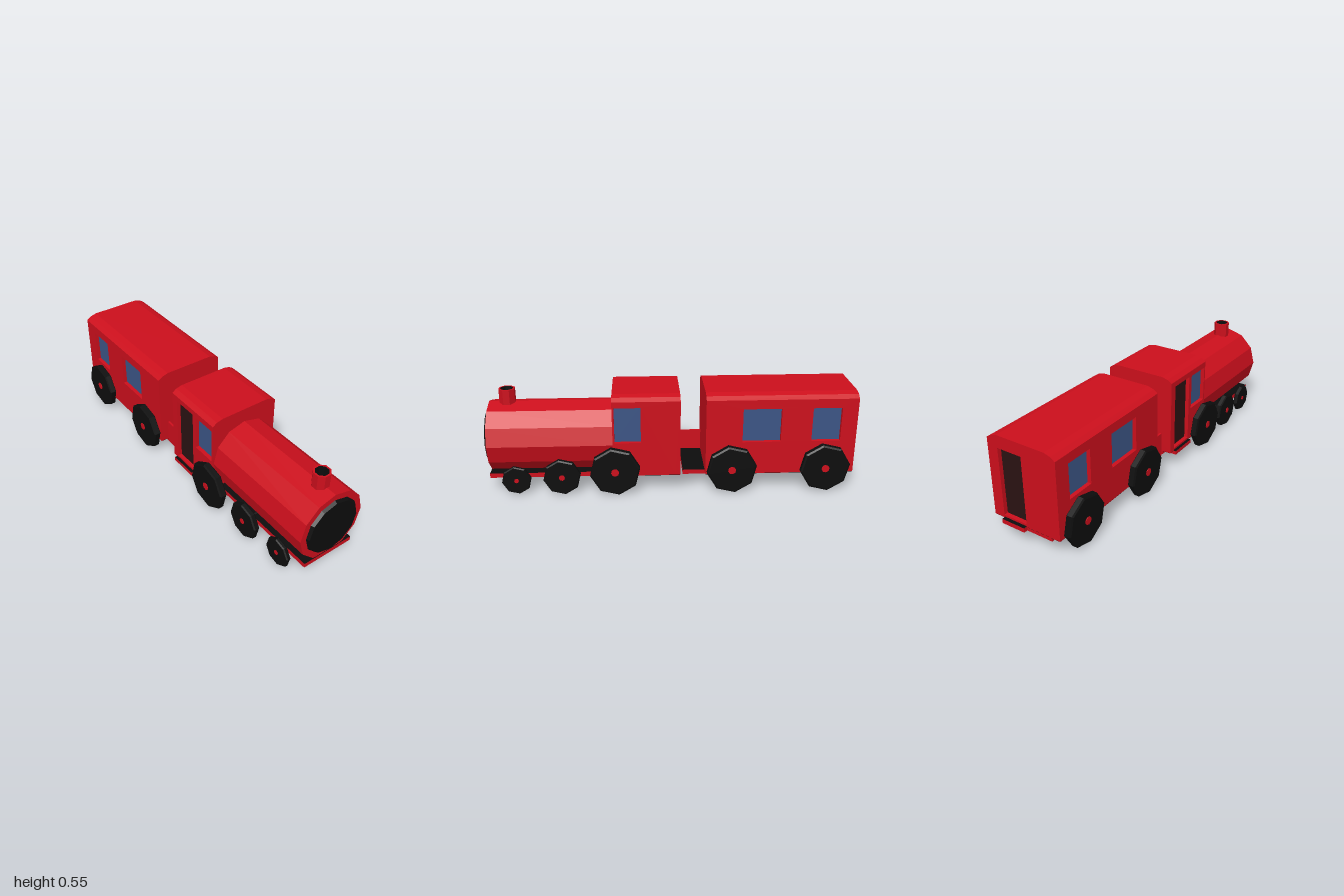
import * as THREE from 'three';

const mat = (color) => new THREE.MeshStandardMaterial({ color, flatShading: true });
const RED = mat(0xcc0f1c), BLACK = mat(0x0d0d0d), DARK = mat(0x2a1212), GLASS = mat(0x3c5585);
const INSET = 0.025; // depth of window and door recesses

function add(parent, name, geometry, material) {
  const mesh = new THREE.Mesh(geometry, material);
  mesh.name = name;
  parent.add(mesh);
  return mesh;
}

// Box given by its limits on each axis
function box(parent, name, [x0, x1], [y0, y1], [z0, z1], material) {
  const mesh = add(parent, name, new THREE.BoxGeometry(x1 - x0, y1 - y0, z1 - z0), material);
  mesh.position.set((x0 + x1) / 2, (y0 + y1) / 2, (z0 + z1) / 2);
  return mesh;
}

// Floor plate: red edges, dark top and underside
const plate = (parent, name, x, y, z) =>
  box(parent, name, x, y, z, [RED, RED, BLACK, DARK, RED, RED]);

const polygon = (points) => new THREE.Shape(points.map(([x, y]) => new THREE.Vector2(x, y)));
const rect = ([u0, u1], [y0, y1]) => [[u0, y0], [u1, y0], [u1, y1], [u0, y1]];
const extrude = (shape, depth) => new THREE.ExtrudeGeometry(shape, { depth, bevelEnabled: false });

function withHoles(points, openings) {
  const shape = polygon(points);
  for (const o of openings) shape.holes.push(new THREE.Path(polygon(rect(o.u, o.y)).getPoints().reverse()));
  return shape;
}

// Bevelled-roof coach body with recessed openings; openings use z (sides) or x (back) as u
function coachBody(name, z0, z1, top, openings) {
  const g = new THREE.Group();
  g.name = name;
  const roof = [[0.2, 0.52], [0.175, 0.537], [0.14, top], [-0.14, top], [-0.175, 0.537], [-0.2, 0.52]];
  const inner = 0.2 - INSET;

  // Core and roof in one section
  const section = polygon([[-inner, 0.1], [inner, 0.1], [inner, 0.52], ...roof, [-inner, 0.52]]);
  add(g, 'coreAndRoof', extrude(section, z1 - z0 - INSET), RED).position.z = z0 + INSET;

  // Back wall
  const backShape = withHoles([[-0.2, 0.1], [0.2, 0.1], ...roof], openings.back);
  add(g, 'backWall', extrude(backShape, INSET), RED).position.z = z0;
  for (const o of openings.back) {
    box(g, o.name, o.u, o.y, [z0 + INSET - 0.003, z0 + INSET + 0.003], o.material);
  }

  // Side walls with their panels
  for (const s of [1, -1]) {
    const list = s > 0 ? openings.left : openings.right;
    const wall = add(g, s > 0 ? 'leftWall' : 'rightWall',
      extrude(withHoles(rect([z0 + INSET, z1], [0.1, 0.52]), list), INSET), RED);
    wall.rotation.y = -Math.PI / 2;
    wall.position.x = s > 0 ? 0.2 : -inner;
    for (const o of list) {
      box(g, o.name, [s * inner - 0.003, s * inner + 0.003], o.y, o.u, o.material);
    }
  }

  box(g, 'underside', [-0.198, 0.198], [0.097, 0.101], [z0 + 0.002, z1 - 0.002], DARK);
  return g;
}

const windowAt = (z0, z1, y0, y1) => ({ name: 'window', u: [z0, z1], y: [y0, y1], material: GLASS });
const doorAt = (u0, u1, y1) => ({ name: 'door', u: [u0, u1], y: [0.115, y1], material: DARK });

// Eight-sided wheel with bevelled rim and red hub, lying along +x
function wheel(radius, width) {
  const g = new THREE.Group();
  const profile = [[0, 0], [radius * 0.97, 0], [radius, 0.005], [radius, width - 0.006], [radius * 0.93, width], [0, width]];
  const tyre = add(g, 'tyre', new THREE.LatheGeometry(profile.map(([r, y]) => new THREE.Vector2(r, y)), 8), BLACK);
  const hub = add(g, 'hub', new THREE.CylinderGeometry(radius * 0.16, radius * 0.16, 0.006, 8), RED);
  hub.position.y = width;
  tyre.rotation.y = hub.rotation.y = 0.15;
  g.rotation.z = -Math.PI / 2;
  const holder = new THREE.Group();
  holder.add(g);
  return holder;
}

export function createModel() {
  const train = new THREE.Group();
  train.name = 'train';

  // Locomotive cab
  const cabWindow = windowAt(0.17, 0.31, 0.29, 0.487);
  train.add(coachBody('cab', -0.04, 0.32, 0.545, {
    left: [cabWindow],
    right: [cabWindow, doorAt(0, 0.145, 0.49)],
    back: [],
  }));

  // Passenger carriage
  const carriageWindows = [windowAt(-0.575, -0.37, 0.283, 0.47), windowAt(-0.895, -0.74, 0.283, 0.47)];
  train.add(coachBody('carriage', -0.98, -0.175, 0.547, {
    left: carriageWindows,
    right: carriageWindows,
    back: [doorAt(0, 0.14, 0.48)],
  }));

  // Boiler and smokebox door
  const boiler = add(train, 'boiler', new THREE.CylinderGeometry(0.193, 0.193, 0.675, 12), RED);
  boiler.rotation.x = Math.PI / 2;
  boiler.position.set(0, 0.275, 0.6475);
  const front = add(train, 'boilerDoor', new THREE.CylinderGeometry(0.149, 0.16, 0.017, 12), BLACK);
  front.rotation.x = Math.PI / 2;
  front.position.set(0, 0.275, 0.9915);

  // Hollow chimney
  const tube = [[0.045, 0.45], [0.045, 0.54], [0.035, 0.54]].map(([r, y]) => new THREE.Vector2(r, y));
  const chimney = add(train, 'chimney', new THREE.LatheGeometry(tube, 8), RED);
  const bore = [[0, 0.475], [0.035, 0.475], [0.035, 0.54]].map(([r, y]) => new THREE.Vector2(r, y));
  const flue = add(train, 'chimneyBore', new THREE.LatheGeometry(bore, 8),
    new THREE.MeshStandardMaterial({ color: 0x0d0d0d, flatShading: true, side: THREE.DoubleSide }));
  for (const part of [chimney, flue]) {
    part.position.z = 0.885;
    part.rotation.y = Math.PI / 8;
  }

  // Chassis plates, steps and gangway
  plate(train, 'locomotiveChassis', [-0.15, 0.15], [0.079, 0.104], [-0.04, 0.988]);
  plate(train, 'carriageChassis', [-0.15, 0.15], [0.079, 0.104], [-0.978, -0.175]);
  plate(train, 'cabStep', [-0.217, -0.15], [0.082, 0.104], [-0.01, 0.15]);
  plate(train, 'rearStep', [0, 0.137], [0.08, 0.104], [-1, -0.975]);
  plate(train, 'gangwayFloor', [-0.15, 0.15], [0.079, 0.104], [-0.175, -0.055]);
  box(train, 'gangwaySide', [-0.152, -0.14], [0.079, 0.218], [-0.175, -0.055], RED);

  // Wheels: [z, radius, inner x, outer x]
  const wheels = [
    [0.84, 0.08, 0.175, 0.198],
    [0.595, 0.101, 0.185, 0.216],
    [0.31, 0.135, 0.198, 0.237],
    [-0.315, 0.135, 0.198, 0.237],
    [-0.82, 0.135, 0.198, 0.237],
  ];
  for (const [z, r, x0, x1] of wheels) {
    for (const s of [1, -1]) {
      const w = wheel(r, x1 - x0);
      w.name = s > 0 ? 'leftWheel' : 'rightWheel';
      w.position.set(s * x0, r + 0.001, z);
      if (s < 0) w.rotation.y = Math.PI;
      train.add(w);
    }
    // Axle under the frame
    const axle = add(train, 'axle', new THREE.CylinderGeometry(0.012, 0.012, 2 * x0, 8), BLACK);
    axle.rotation.z = Math.PI / 2;
    axle.position.set(0, r + 0.001, z);
  }
  return train;
}
